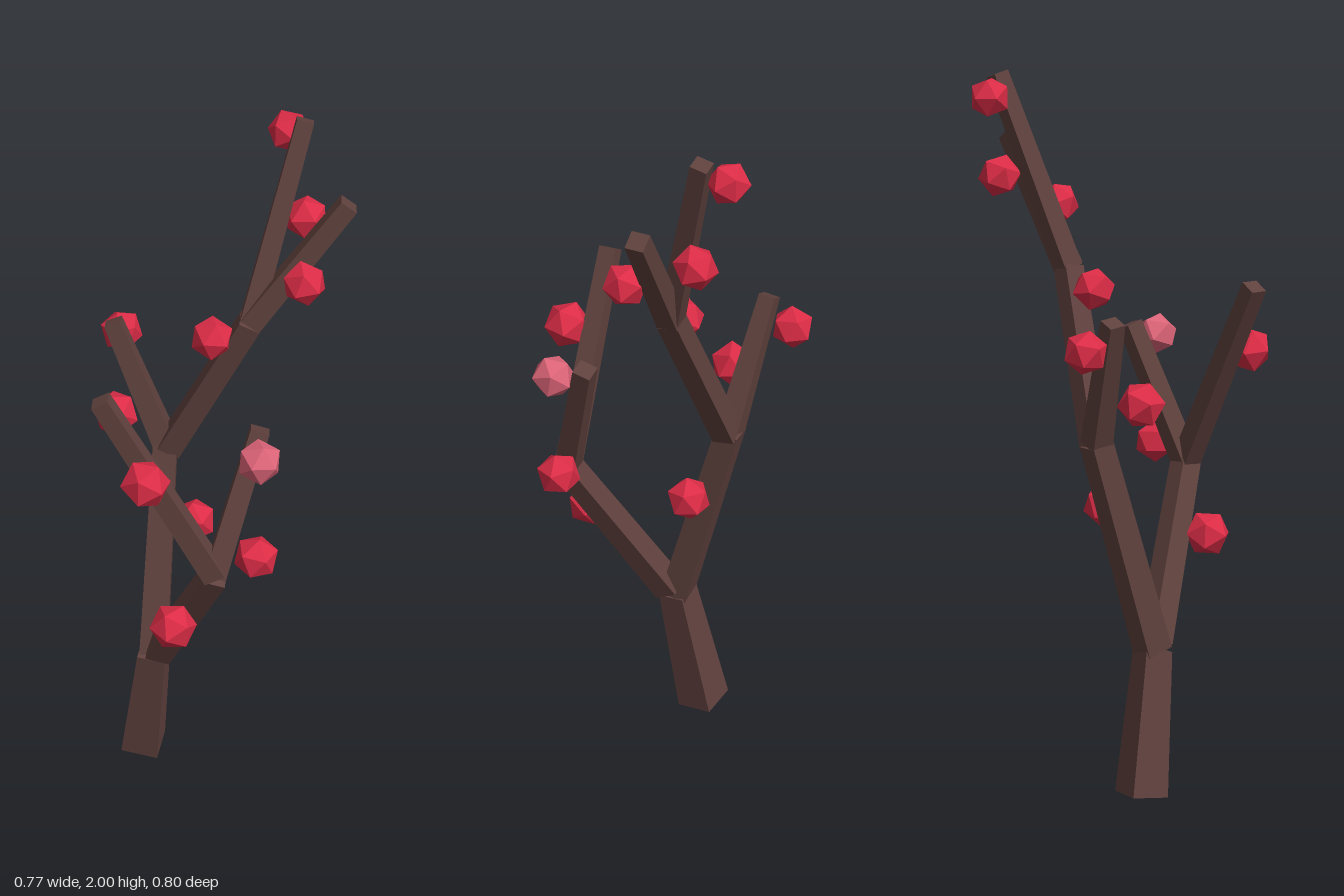
import * as THREE from 'three';

const bark = new THREE.MeshStandardMaterial({ color: 0x5f413d, flatShading: true });
const red = new THREE.MeshStandardMaterial({ color: 0xdc2c46, flatShading: true });
const pink = new THREE.MeshStandardMaterial({ color: 0xdc6478, flatShading: true });

// Tapered four-sided limb between two points
function limb(name, from, to, r0, r1, twist = 0) {
  const a = new THREE.Vector3(...from);
  const b = new THREE.Vector3(...to);
  const dir = b.clone().sub(a);
  const geometry = new THREE.CylinderGeometry(r1, r0, dir.length(), 4);
  geometry.rotateY(twist);
  const mesh = new THREE.Mesh(geometry, bark);
  mesh.name = name;
  mesh.position.copy(a).add(b).multiplyScalar(0.5);
  mesh.quaternion.setFromUnitVectors(new THREE.Vector3(0, 1, 0), dir.normalize());
  return mesh;
}

export function createModel() {
  const model = new THREE.Group();
  model.name = 'berryBranch';

  // Forks where limbs meet
  const trunkTop = [-0.05, 0.415, 0.107];
  const leftFork = [0.26, 0.88, 0.155];
  const rightFork = [-0.152, 1.02, -0.032];
  const upperFork = [0.065, 1.46, -0.145];

  // Trunk and limbs
  model.add(
    limb('trunk', [-0.125, 0.018, 0.088], trunkTop, 0.077, 0.057, -0.15),
    limb('rightLimb', trunkTop, rightFork, 0.056, 0.047),
    limb('rightTwig', rightFork, [-0.288, 1.377, 0.035], 0.045, 0.033),
    limb('upperLimb', [-0.14, 1.01, -0.035], upperFork, 0.046, 0.042),
    limb('topTwig', upperFork, [0.058, 1.988, -0.338], 0.04, 0.032),
    limb('topLeftTwig', upperFork, [0.226, 1.81, -0.338], 0.042, 0.035),
    limb('leftLimb', [-0.025, 0.43, 0.11], leftFork, 0.05, 0.044),
    limb('leftBackTwig', leftFork, [0.257, 1.275, -0.005], 0.042, 0.036),
    limb('leftFrontTwig', leftFork, [0.052, 1.425, 0.367], 0.042, 0.034),
  );

  // Berries: x, y, z, radius
  const berries = [
    [-0.01, 1.93, -0.345, 0.057],
    [0.072, 1.71, -0.337, 0.06],
    [0.21, 1.62, -0.2, 0.06],
    [0.002, 1.415, -0.065, 0.06],
    [-0.33, 1.305, -0.03, 0.06],
    [-0.21, 1.145, 0.098, 0.065],
    [0.192, 1.225, 0.338, 0.067],
    [0.325, 1.235, 0.06, 0.061],
    [0.318, 0.925, 0.06, 0.062],
    [-0.03, 0.82, -0.03, 0.063],
    [0.174, 0.695, 0.23, 0.066],
  ];
  berries.forEach(([x, y, z, r], i) => {
    const berry = new THREE.Mesh(new THREE.IcosahedronGeometry(r, 0), i === 7 ? pink : red);
    berry.name = `berry${i + 1}`;
    berry.position.set(x, y, z);
    berry.rotation.set(i * 1.3, i * 2.1, i * 0.7);
    model.add(berry);
  });

  return model;
}
